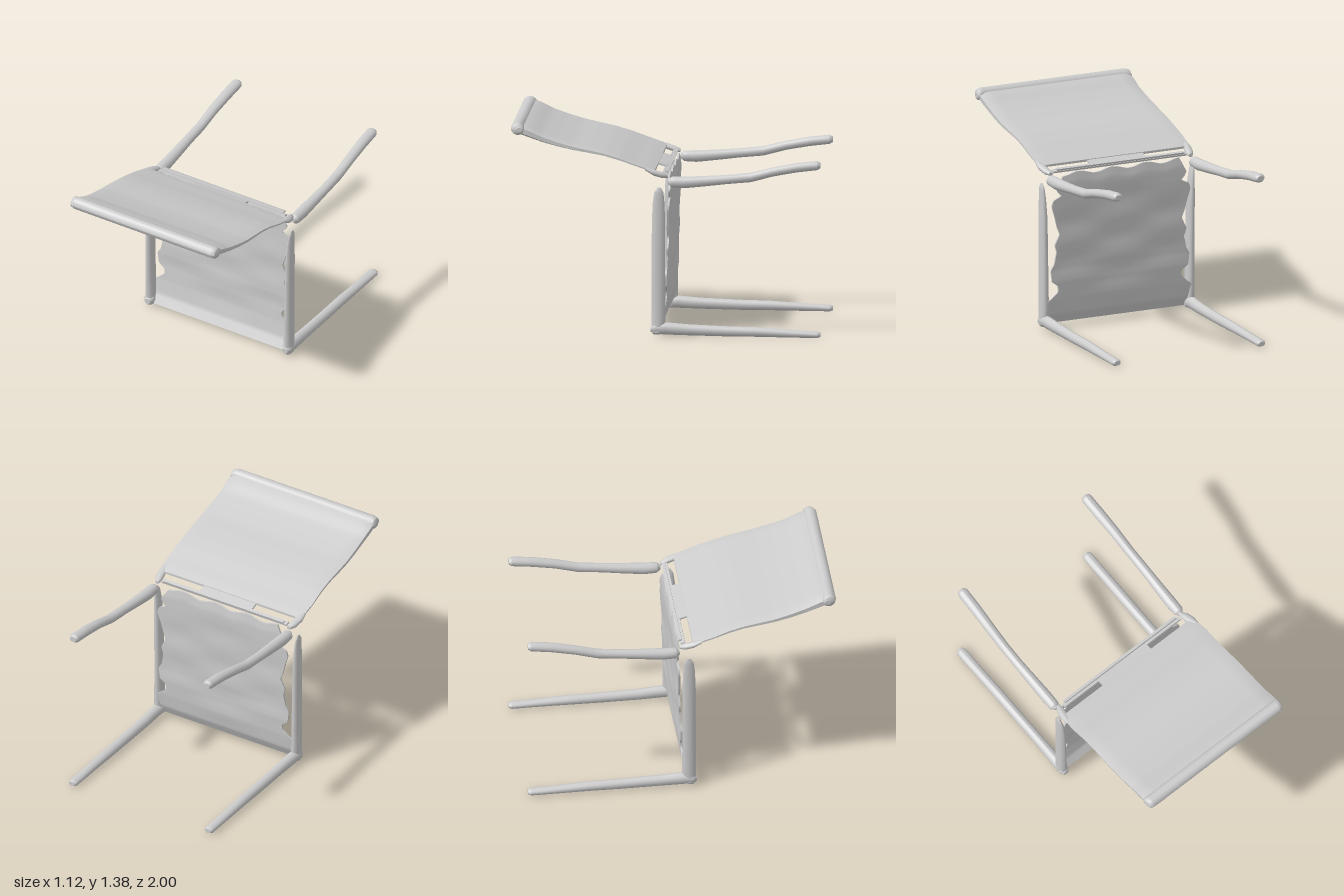
import * as THREE from 'three';

const material = new THREE.MeshStandardMaterial({ color: 0xcccccc, side: THREE.DoubleSide });

// Piecewise linear lookup in rows of [t, value, value, ...]
function lookup(keys, t) {
  let i = 0;
  while (i < keys.length - 2 && t > keys[i + 1][0]) i++;
  const p = keys[i], q = keys[i + 1];
  const f = THREE.MathUtils.clamp((t - p[0]) / (q[0] - p[0]), 0, 1);
  return p.map((v, k) => v + (q[k] - v) * f);
}

// Moves every vertex of a geometry by a rule
function warp(geometry, rule) {
  const pos = geometry.attributes.position;
  for (let i = 0; i < pos.count; i++) pos.setXYZ(i, ...rule(pos.getX(i), pos.getY(i), pos.getZ(i)));
  geometry.computeVertexNormals();
  return geometry;
}

// Uneven round bar along y; each key is [height, x, z, radius x, radius z]
function bar(keys) {
  const steps = 3, n = (keys.length - 1) * steps;
  return warp(new THREE.CylinderGeometry(1, 1, 1, 14, n), (x, y, z) => {
    const row = (y + 0.5) * n / steps;
    const i = Math.min(Math.floor(row + 1e-6), keys.length - 2), f = row - i;
    const [t, cx, cz, rx, rz] = keys[i].map((v, k) => v + (keys[i + 1][k] - v) * f);
    return [cx + x * rx, t, cz + z * rz];
  });
}

export function createModel() {
  const group = new THREE.Group();
  const add = (name, geometry) => {
    const mesh = new THREE.Mesh(geometry, material);
    mesh.name = name;
    group.add(mesh);
    return mesh;
  };

  // Seat: thin upright sheet with an eroded outline; rows of [y, half width, z]
  const seatRows = [
    [0.035, 0.53, 0.06], [0.1, 0.53, 0.025], [0.19, 0.52, 0.008], [0.21, 0.49, 0.005],
    [0.25, 0.445, 0.003], [0.29, 0.445, 0.002], [0.32, 0.49, 0], [0.4, 0.5, 0], [0.44, 0.475, -0.003],
    [0.52, 0.46, -0.006], [0.57, 0.475, -0.007], [0.64, 0.44, -0.009], [0.69, 0.46, -0.01],
    [0.75, 0.475, -0.012], [0.83, 0.5, -0.014], [0.87, 0.49, -0.016], [0.895, 0.43, -0.018],
    [0.92, 0.455, -0.019], [0.95, 0.47, -0.02], [0.98, 0.45, -0.02], [1.035, 0.42, -0.012],
  ];
  add('seat', warp(new THREE.BoxGeometry(1, 1, 1, 48, 80, 1), (u, v, w) => {
    const t = v + 0.5;
    const [y, half, z] = lookup(seatRows, 0.035 + t);
    const x = 2 * u * half;
    const wave = 0.012 * Math.sin(x * 26) * Math.max(0, (t - 0.85) / 0.15);
    const ripple = 0.004 * Math.sin(y * 24) * Math.cos(x * 9) * Math.sin(Math.PI * t);
    return [x, y + wave, z + ripple + w * 0.012];
  }));

  // Backrest: long panel swept along z; rows of [z, underside y, top y, half width]
  const backRows = [
    [0.07, 1.075, 1.09, 0.52], [0.12, 1.09, 1.11, 0.545], [0.2, 1.118, 1.137, 0.55],
    [0.3, 1.15, 1.175, 0.545], [0.4, 1.178, 1.205, 0.545], [0.5, 1.195, 1.228, 0.548],
    [0.6, 1.213, 1.25, 0.55], [0.7, 1.235, 1.28, 0.548], [0.8, 1.262, 1.315, 0.545],
    [0.88, 1.29, 1.355, 0.548], [0.95, 1.315, 1.38, 0.545],
  ];
  add('backrest', warp(new THREE.BoxGeometry(1, 1, 1, 24, 1, 44), (u, v, w) => {
    const [z, low, high, half] = lookup(backRows, 0.51 + w * 0.88);
    const edge = Math.max(0, Math.abs(u) * 24 - 11);
    const inset = 0.25 * edge * (high - low);
    return [2 * u * half, v > 0 ? high - inset : low + inset, z];
  }));

  // Rounded top rail of the backrest
  add('backrestRail', bar([
    [-0.555, -1.345, 0.945, 0.015, 0.02], [-0.545, -1.348, 0.953, 0.035, 0.04],
    [-0.52, -1.35, 0.957, 0.041, 0.043], [0.52, -1.35, 0.957, 0.041, 0.043],
    [0.545, -1.348, 0.953, 0.035, 0.04], [0.555, -1.345, 0.945, 0.015, 0.02],
  ]).rotateZ(-Math.PI / 2));

  // Torn strips between seat and backrest: [half width, y, z, depth]
  for (const [half, y, z, depth] of [[0.48, 1.058, 0.012, 0.03], [0.46, 1.072, -0.003, 0.02], [0.2, 1.072, 0.045, 0.06]]) {
    const strip = add('hingeStrip', new THREE.BoxGeometry(2 * half, 0.012, depth));
    strip.position.set(0, y, z);
    strip.rotation.x = -0.3;
  }

  for (const s of [1, -1]) {
    // Seat side rails, tapering towards the top
    add('sideRail', bar([
      [0.02, s * 0.525, 0.055, 0.02, 0.025], [0.035, s * 0.523, 0.05, 0.035, 0.042],
      [0.1, s * 0.525, 0.046, 0.031, 0.045], [0.25, s * 0.527, 0.046, 0.028, 0.045],
      [0.5, s * 0.529, 0.046, 0.026, 0.044], [0.75, s * 0.532, 0.045, 0.024, 0.043],
      [0.88, s * 0.537, 0.044, 0.018, 0.038], [0.95, s * 0.542, 0.042, 0.012, 0.03],
      [0.98, s * 0.544, 0.04, 0.004, 0.012],
    ]));

    // Legs run backwards: keys are [-z, x, y, radius x, radius y]
    add('lowerLeg', bar([
      [-0.095, s * 0.523, 0.055, 0.02, 0.02], [-0.07, s * 0.523, 0.058, 0.036, 0.036],
      [0, s * 0.523, 0.058, 0.036, 0.04], [0.15, s * 0.52, 0.05, 0.034, 0.036],
      [0.4, s * 0.52, 0.043, 0.033, 0.033], [0.6, s * 0.52, 0.041, 0.034, 0.031],
      [0.8, s * 0.522, 0.034, 0.032, 0.026], [0.98, s * 0.522, 0.029, 0.033, 0.022],
      [1, s * 0.522, 0.029, 0.022, 0.015],
    ]).rotateX(-Math.PI / 2));
    add('upperLeg', bar([
      [0.015, s * 0.515, 1.015, 0.015, 0.015], [0.04, s * 0.515, 1.013, 0.035, 0.035],
      [0.12, s * 0.515, 1.012, 0.038, 0.038], [0.25, s * 0.517, 1.022, 0.035, 0.034],
      [0.4, s * 0.52, 1.036, 0.032, 0.03], [0.55, s * 0.52, 1.051, 0.032, 0.031],
      [0.7, s * 0.519, 1.09, 0.034, 0.03], [0.85, s * 0.515, 1.118, 0.036, 0.031],
      [0.98, s * 0.513, 1.133, 0.036, 0.03], [1, s * 0.513, 1.133, 0.024, 0.018],
    ]).rotateX(-Math.PI / 2));

    // Broken joint pieces at the rear corners of the backrest
    add('cornerJoint', bar([
      [-0.13, s * 0.535, 1.1, 0.012, 0.01], [-0.075, s * 0.525, 1.075, 0.028, 0.02],
      [-0.02, s * 0.515, 1.058, 0.026, 0.02], [0.015, s * 0.505, 1.05, 0.014, 0.012],
    ]).rotateX(-Math.PI / 2));
  }
  return group;
}
